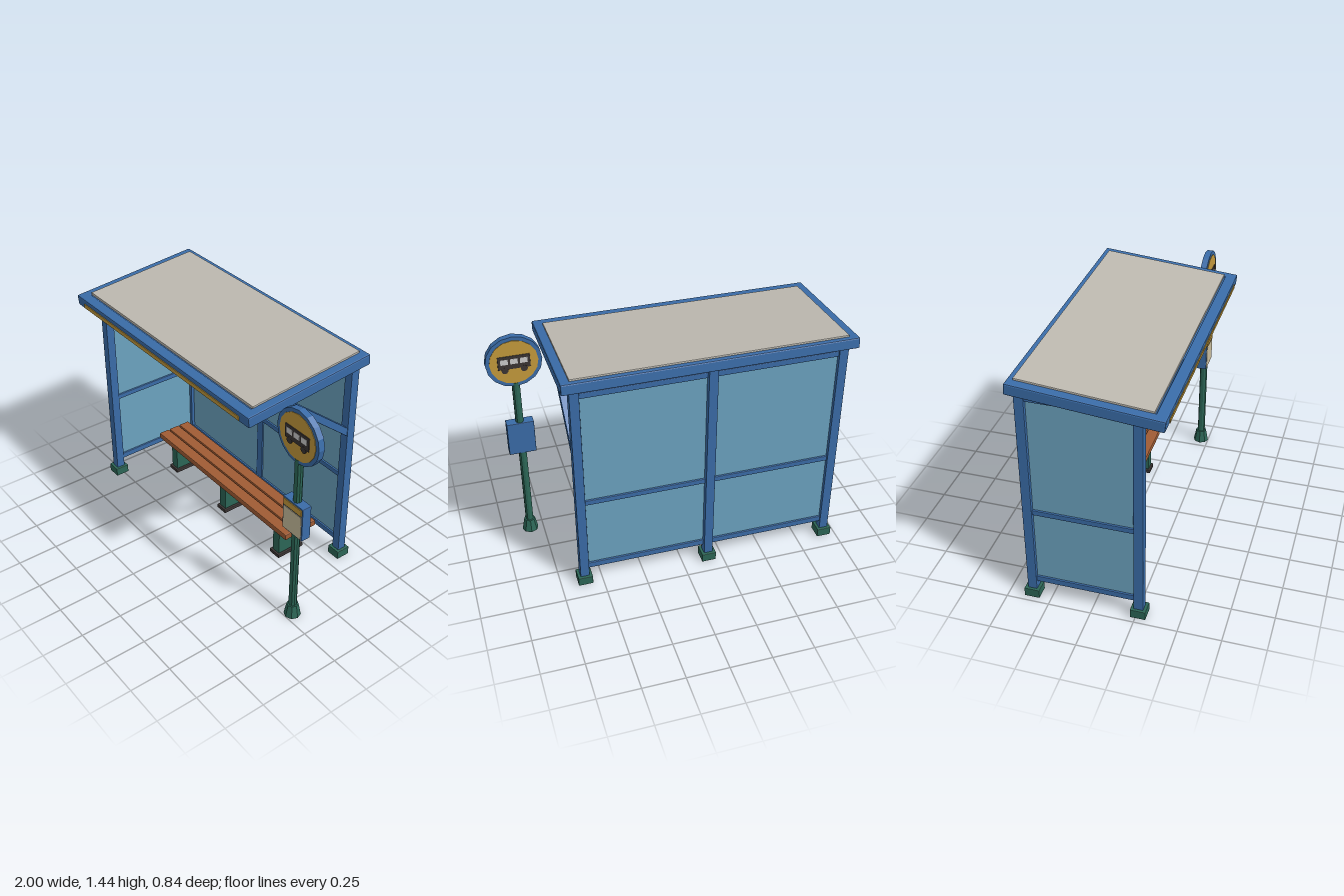
import * as THREE from 'three';
import { RoundedBoxGeometry } from 'three/addons/geometries/RoundedBoxGeometry.js';

const mat = (color, opts = {}) => new THREE.MeshStandardMaterial({ color, flatShading: true, ...opts });
const blue = mat(0x3a6ca8);
const glass = mat(0x6ca3c0);
const green = mat(0x2c6656);
const wood = mat(0xa05c34);
const yellow = mat(0xc49a3c);
const cream = mat(0xcabf9f);
const roofGrey = mat(0xbdb9b0);
const dark = mat(0x3a3433);
const pale = mat(0xc4c4c0);

function add(parent, name, geometry, material, x, y, z) {
  const mesh = new THREE.Mesh(geometry, material);
  mesh.name = name;
  mesh.position.set(x, y, z);
  parent.add(mesh);
  return mesh;
}

// Box with a small chamfer, given by its centre and size
function box(parent, name, material, [x, y, z], [w, h, d], bevel = 0.004) {
  const geometry = bevel ? new RoundedBoxGeometry(w, h, d, 1, bevel) : new THREE.BoxGeometry(w, h, d);
  return add(parent, name, geometry, material, x, y, z);
}

function group(parent, name) {
  const g = new THREE.Group();
  g.name = name;
  parent.add(g);
  return g;
}

const MID = -0.16, LEFT = -0.925, RIGHT = 0.607;
const FRONT = 0.265, BACK = -0.36;
const TILT = 0.09;
const roofY = z => 1.367 - Math.tan(TILT) * z;

function buildFrame(parent) {
  const frame = group(parent, 'frame');

  // Posts on foot blocks; the front corner by the sign is left open
  for (const [x, z] of [[LEFT, FRONT], [LEFT, BACK], [MID, BACK - 0.012], [RIGHT, BACK]]) {
    const top = roofY(z) - 0.01;
    box(frame, 'post', blue, [x, top / 2, z], [0.055, top, 0.055]);
    box(frame, 'postFoot', green, [x, 0.0275, z], [0.088, 0.055, 0.09]);
  }

  // Horizontal rails of the back and side walls
  const backLength = RIGHT - LEFT, sideLength = FRONT - BACK;
  const sideZ = (FRONT + BACK) / 2;
  for (const [y, h] of [[0.123, 0.037], [0.598, 0.032], [1.328, 0.036]]) {
    box(frame, 'backRail', blue, [MID, y, BACK], [backLength, h, 0.035]);
    box(frame, 'sideRail', blue, [LEFT, y, sideZ], [0.035, h, sideLength]);
  }

  // Glazing
  for (const s of [-1, 1]) {
    box(frame, 'backGlass', glass, [MID + s * backLength / 4, 0.725, BACK], [backLength / 2, 1.2, 0.012], 0);
  }
  box(frame, 'sideGlass', glass, [LEFT, 0.725, sideZ], [0.012, 1.2, sideLength], 0);

  // Diagonal brace under the open end of the roof
  const a = new THREE.Vector2(-0.345, 0.923), b = new THREE.Vector2(0.155, 1.332);
  const c = a.clone().add(b).multiplyScalar(0.5);
  const brace = box(frame, 'roofBrace', blue, [RIGHT, c.y, c.x], [0.048, 0.042, a.distanceTo(b)]);
  brace.rotation.x = -Math.atan2(b.y - a.y, b.x - a.x);
}

function buildRoof(parent) {
  const roof = group(parent, 'roof');
  roof.position.set(MID, 1.367, 0);
  roof.rotation.x = TILT;

  // Edge beams, deck and top sheet
  box(roof, 'frontFascia', blue, [0, 0, 0.385], [1.68, 0.065, 0.065], 0.008);
  box(roof, 'backFascia', blue, [0, 0, -0.393], [1.68, 0.065, 0.05], 0.008);
  for (const s of [-1, 1]) box(roof, 'sideFascia', blue, [s * 0.81, 0, 0], [0.06, 0.065, 0.83], 0.008);
  box(roof, 'roofDeck', blue, [0, 0, 0], [1.6, 0.05, 0.78], 0);
  box(roof, 'roofSheet', roofGrey, [0, 0.033, -0.021], [1.575, 0.02, 0.735]);
  box(roof, 'fasciaStripe', yellow, [0, -0.009, 0.418], [1.52, 0.027, 0.008], 0);

  // Ceiling lamp
  box(roof, 'lampHousing', green, [0, -0.04, -0.025], [0.75, 0.034, 0.24]);
  box(roof, 'lampLens', cream, [0, -0.063, -0.025], [0.71, 0.016, 0.19]);
}

function buildBench(parent) {
  const bench = group(parent, 'bench');
  const z = -0.13;
  for (const i of [-1, 0, 1]) {
    box(bench, 'seatSlat', wood, [MID, 0.231, z + i * 0.081], [1.335, 0.04, 0.074], 0.007);
    const x = MID + i * 0.543;
    box(bench, 'benchLeg', green, [x, 0.104, z], [0.06, 0.16, 0.17]);
    box(bench, 'benchFoot', dark, [x, 0.0125, z], [0.086, 0.025, 0.195]);
  }
  box(bench, 'seatBeam', green, [MID, 0.196, z], [1.225, 0.034, 0.13]);
}

function buildSign(parent) {
  const sign = group(parent, 'stopSign');
  sign.position.set(0.832, 0, 0.2);

  // Pole and tapered foot
  add(sign, 'signFoot', new THREE.CylinderGeometry(0.034, 0.05, 0.08, 8), green, 0, 0.04, 0);
  add(sign, 'signPole', new THREE.CylinderGeometry(0.024, 0.024, 1.08, 10), green, 0, 0.57, 0);

  // Round plate with a bus pictogram on both faces
  const disc = (target, name, r, depth, material, x, y, z, sides) => {
    const m = add(target, name, new THREE.CylinderGeometry(r, r, depth, sides), material, x, y, z);
    m.rotation.x = Math.PI / 2;
  };
  disc(sign, 'signRim', 0.163, 0.038, blue, 0, 1.25, 0, 16);
  for (const s of [0, 1]) {
    const face = group(sign, s ? 'signBack' : 'signFront');
    face.position.y = 1.25;
    face.rotation.y = s * Math.PI;
    disc(face, 'signFace', 0.14, 0.008, yellow, 0, 0, 0.018, 16);
    box(face, 'busBody', dark, [0, 0.002, 0.023], [0.186, 0.084, 0.008], 0.003);
    for (const i of [-1, 0, 1]) {
      box(face, 'busWindow', pale, [i * 0.056, 0.01, 0.026], [0.043, 0.034, 0.005], 0);
      if (i) disc(face, 'busWheel', 0.02, 0.009, dark, i * 0.055, -0.045, 0.024, 12);
    }
  }

  // Timetable case
  box(sign, 'timetableCase', blue, [0, 0.723, 0.001], [0.162, 0.217, 0.06]);
  box(sign, 'timetableHeader', yellow, [0, 0.802, 0.032], [0.146, 0.04, 0.008], 0);
  box(sign, 'timetableSheet', cream, [0, 0.698, 0.031], [0.146, 0.15, 0.006], 0);
}

export function createModel() {
  const model = new THREE.Group();
  model.name = 'busShelter';
  buildFrame(model);
  buildRoof(model);
  buildBench(model);
  buildSign(model);
  return model;
}
